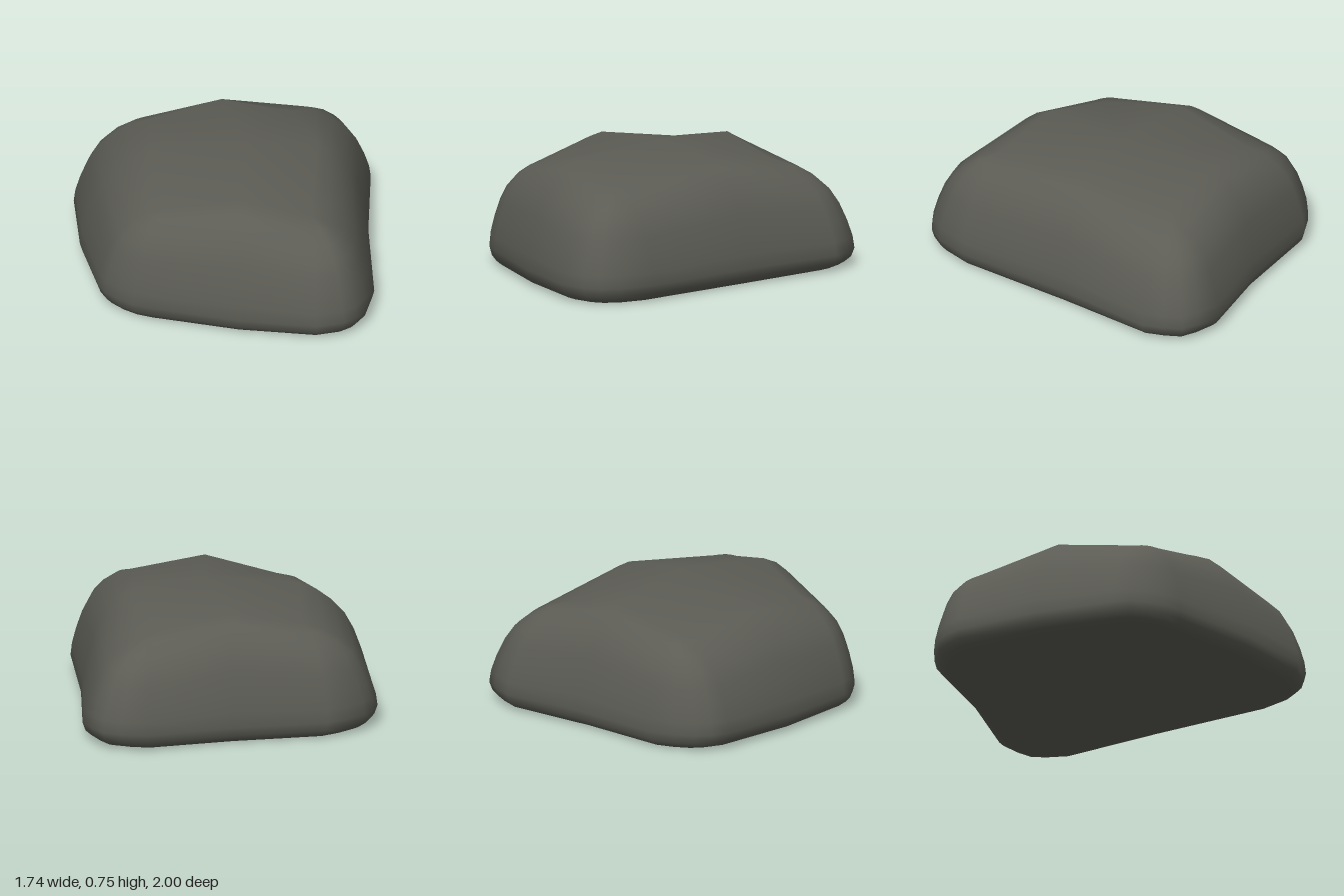
import * as THREE from 'three';
import { mergeVertices } from 'three/addons/utils/BufferGeometryUtils.js';

// Widest outline [x, z]: each corner arc followed by the middle of the next side
const sides = [
  { arc: [[-0.86, -0.57], [-0.82, -0.67], [-0.76, -0.75], [-0.66, -0.82], [-0.53, -0.88]], mid: [0.03, -0.91],
    topCorner: [-0.42, 0.61, -0.58], topMid: [0, 0.70, -0.62] },
  { arc: [[0.54, -1], [0.68, -0.96], [0.78, -0.91], [0.83, -0.81], [0.87, -0.69]], mid: [0.80, -0.08],
    topCorner: [0.41, 0.61, -0.6], topMid: [0.5, 0.70, -0.06] },
  { arc: [[0.77, 0.62], [0.71, 0.82], [0.64, 0.92], [0.56, 0.97], [0.40, 1]], mid: [-0.04, 0.89],
    topCorner: [0.41, 0.61, 0.6], topMid: [0, 0.70, 0.54] },
  { arc: [[-0.53, 0.70], [-0.63, 0.65], [-0.71, 0.58], [-0.78, 0.49], [-0.81, 0.40]], mid: [-0.87, -0.07],
    topCorner: [-0.4, 0.61, 0.42], topMid: [-0.47, 0.70, -0.07] },
];
const BELLY = 0.1; // height of the widest outline

// Profile above the belly: [reach from top edge to outline, share of height]
const upper = [[0, 1], [0.25, 0.93], [0.47, 0.82], [0.66, 0.68], [0.79, 0.52], [0.9, 0.32], [0.975, 0.14], [1, 0]];
// Rounded foot: [reach, height]
const foot = [[0.96, 0.05], [0.88, 0.018], [0.76, 0]];

function rockGeometry() {
  const columns = [];
  for (const s of sides) {
    for (const p of s.arc) columns.push({ out: p, top: s.topCorner, bulge: 0.87 });
    columns.push({ out: s.mid, top: s.topMid, bulge: 1 });
  }
  const n = columns.length;
  const positions = [];
  const addRing = (heightAt, reachAt) => {
    for (const c of columns) {
      const h = reachAt(c);
      positions.push(
        THREE.MathUtils.lerp(c.top[0], c.out[0], h),
        heightAt(c),
        THREE.MathUtils.lerp(c.top[2], c.out[1], h));
    }
  };
  for (const [h, f] of upper) {
    addRing((c) => BELLY + (c.top[1] - BELLY) * f, (c) => Math.pow(h, c.bulge));
  }
  for (const [h, y] of foot) addRing(() => y, () => h);

  const rings = upper.length + foot.length;
  const topCentre = positions.length / 3;
  positions.push(0.09, 0.755, -0.04);
  const baseCentre = topCentre + 1;
  positions.push(0, 0, 0);

  // Walls between rings, then the domed top and the flat base
  const faces = [];
  for (let i = 0; i < n; i++) {
    const j = (i + 1) % n;
    for (let r = 0; r < rings - 1; r++) {
      const a = r * n + i, b = r * n + j;
      faces.push([a, b, a + n], [b, b + n, a + n]);
    }
    const last = (rings - 1) * n;
    faces.push([topCentre, j, i], [baseCentre, last + i, last + j]);
  }

  let geometry = new THREE.BufferGeometry();
  geometry.setAttribute('position', new THREE.Float32BufferAttribute(positions, 3));
  geometry.setIndex(faces.flat());
  geometry = mergeVertices(geometry, 1e-4);
  // Drop the triangles that collapse at the top corners
  const idx = geometry.index.array;
  const kept = [];
  for (let k = 0; k < idx.length; k += 3) {
    const [a, b, c] = [idx[k], idx[k + 1], idx[k + 2]];
    if (a !== b && b !== c && c !== a) kept.push(a, b, c);
  }
  geometry.setIndex(kept);
  geometry.computeVertexNormals();
  return geometry;
}

export function createModel() {
  const group = new THREE.Group();
  group.name = 'rock';
  const stone = new THREE.MeshStandardMaterial({ color: 0x5c5c55 });
  stone.name = 'dark stone';
  const boulder = new THREE.Mesh(rockGeometry(), stone);
  boulder.name = 'boulder';
  group.add(boulder);
  return group;
}
